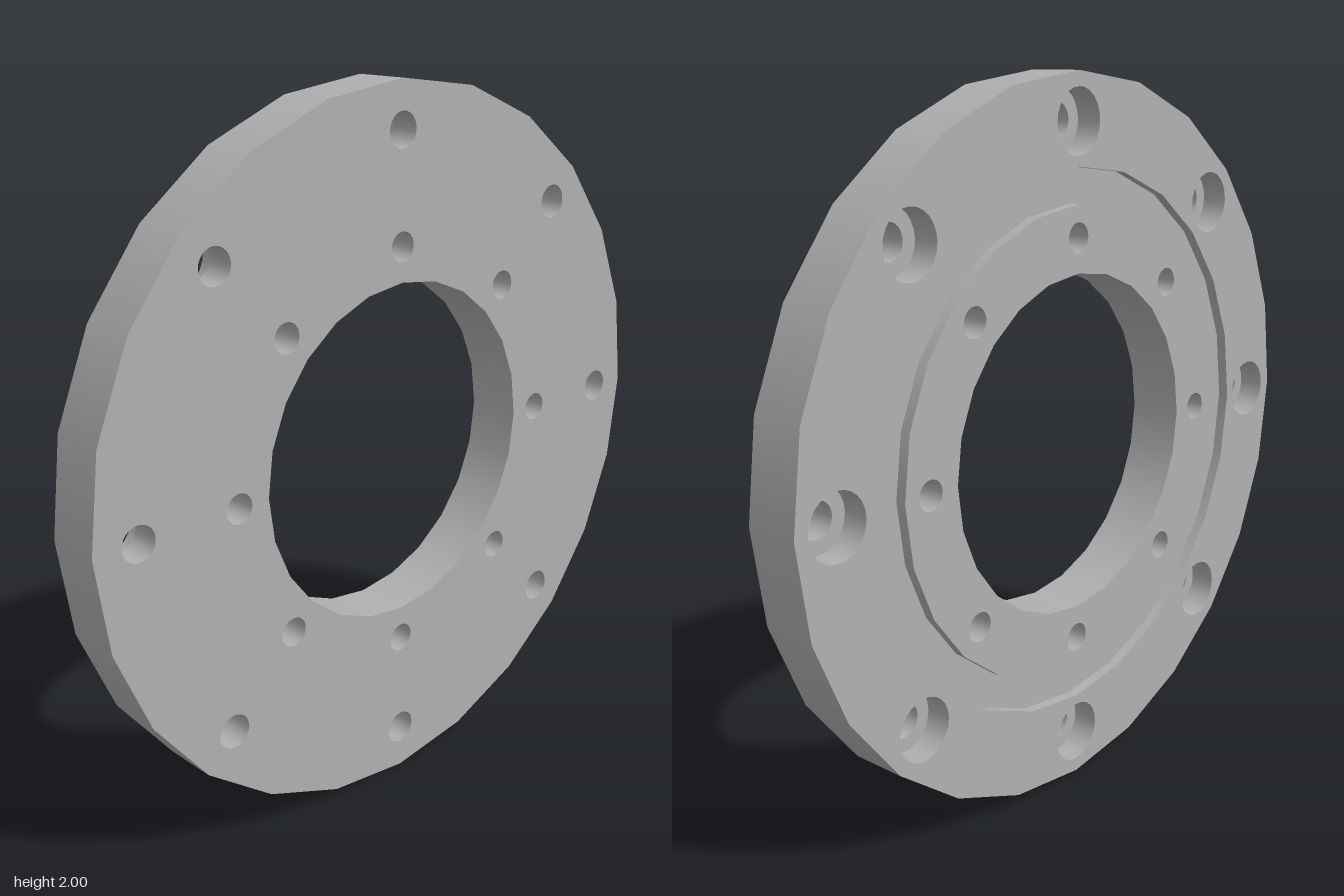
import * as THREE from 'three';
import { mergeGeometries } from 'three/addons/utils/BufferGeometryUtils.js';

const SIDES = 24;
const FRONT = 0.079, BACK = -0.079;
const GROOVE_FLOOR = BACK + 0.03;
const LEDGE = BACK + 0.075;
const R = { rim: 1, bore: 0.477, grooveOut: 0.757, grooveIn: 0.66 };
const BOLT = { ring: 0.872, r: 0.048, sink: 0.088 };
const PIN = { ring: 0.572, r: 0.041 };

// Eight positions evenly spread on a circle
const pattern = (ring) => Array.from({ length: 8 }, (_, i) => {
  const a = (i * Math.PI) / 4;
  return [ring * Math.cos(a), ring * Math.sin(a)];
});

const circle = (r, cx = 0, cy = 0) => Array.from({ length: SIDES }, (_, i) => {
  const a = (i * 2 * Math.PI) / SIDES;
  return new THREE.Vector2(cx + r * Math.cos(a), cy + r * Math.sin(a));
});

// Flat ring at depth z, with a bolt circle of round holes
function face(outer, inner, z, back = false, holeRing = 0, holeR = 0) {
  const shape = new THREE.Shape(circle(outer));
  shape.holes.push(new THREE.Path(circle(inner)));
  if (holeRing) {
    for (const [x, y] of pattern(holeRing)) shape.holes.push(new THREE.Path(circle(holeR, x, y)));
  }
  const g = new THREE.ShapeGeometry(shape);
  if (back) g.rotateY(Math.PI);
  return g.translate(0, 0, z);
}

// Round wall along z: faces outward when z rises, inward when z falls
function wall(r, zA, zB, x = 0, y = 0) {
  const profile = [new THREE.Vector2(r, zA), new THREE.Vector2(r, zB)];
  return new THREE.LatheGeometry(profile, SIDES).rotateX(Math.PI / 2).translate(x, y, 0);
}

export function createModel() {
  const group = new THREE.Group();
  const steel = new THREE.MeshStandardMaterial({ color: 0xb0b0b0 });
  steel.name = 'grey metal';

  const add = (name, parts) => {
    const mesh = new THREE.Mesh(mergeGeometries(parts), steel);
    mesh.name = name;
    mesh.position.y = 1;
    group.add(mesh);
  };

  // Front face, pierced by both bolt circles
  const front = new THREE.Shape(circle(R.rim));
  front.holes.push(new THREE.Path(circle(R.bore)));
  for (const { ring, r } of [BOLT, PIN]) {
    for (const [x, y] of pattern(ring)) front.holes.push(new THREE.Path(circle(r, x, y)));
  }
  add('frontFace', [new THREE.ShapeGeometry(front).translate(0, 0, FRONT)]);

  // Outer rim and central bore
  add('outerRim', [wall(R.rim, BACK, FRONT)]);
  add('centralBore', [wall(R.bore, FRONT, BACK)]);

  // Back face in two rings with a shallow groove between them
  add('backOuterRing', [face(R.rim, R.grooveOut, BACK, true, BOLT.ring, BOLT.sink)]);
  add('backInnerRing', [face(R.grooveIn, R.bore, BACK, true, PIN.ring, PIN.r)]);
  add('sealGroove', [
    wall(R.grooveOut, GROOVE_FLOOR, BACK),
    face(R.grooveOut, R.grooveIn, GROOVE_FLOOR, true),
    wall(R.grooveIn, BACK, GROOVE_FLOOR),
  ]);

  // Counterbored bolt holes
  add('boltHoles', pattern(BOLT.ring).flatMap(([x, y]) => [
    wall(BOLT.r, FRONT, LEDGE, x, y),
    face(BOLT.sink, BOLT.r, LEDGE, true).translate(x, y, 0),
    wall(BOLT.sink, LEDGE, BACK, x, y),
  ]));

  // Plain through holes
  add('pinHoles', pattern(PIN.ring).map(([x, y]) => wall(PIN.r, FRONT, BACK, x, y)));

  return group;
}
